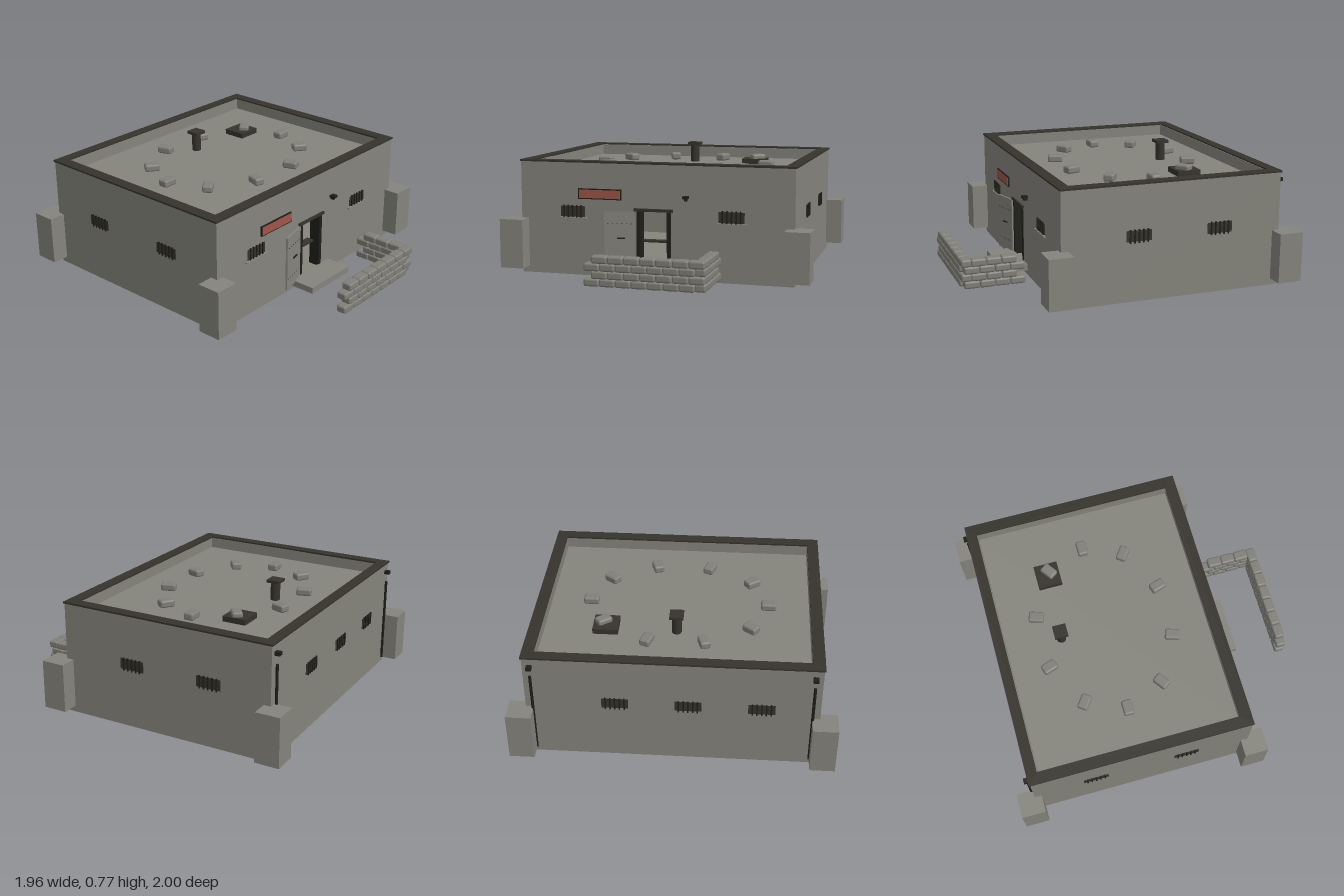
import * as THREE from 'three';
import { RoundedBoxGeometry } from 'three/addons/geometries/RoundedBoxGeometry.js';

const mat = (name, color) => {
  const m = new THREE.MeshStandardMaterial({ color });
  m.name = name;
  return m;
};

export function createModel() {
  const model = new THREE.Group();
  const concrete = mat('concrete', 0x85847c);
  const bagCloth = mat('sandbag cloth', 0x807f78);
  const darkTrim = mat('dark trim', 0x35332b);
  const iron = mat('iron', 0x1f1f1a);
  const signRed = mat('sign red', 0xa05546);

  const add = (name, geo, material, x, y, z, parent = model) => {
    const m = new THREE.Mesh(geo, material);
    m.name = name;
    m.position.set(x, y, z);
    parent.add(m);
    return m;
  };
  // box given by its limits on each axis
  const box = (name, material, x0, x1, y0, y1, z0, z1, parent = model) =>
    add(name, new THREE.BoxGeometry(x1 - x0, y1 - y0, z1 - z0), material,
      (x0 + x1) / 2, (y0 + y1) / 2, (z0 + z1) / 2, parent);
  const rect = (P, x0, x1, y0, y1) =>
    new P().moveTo(x0, y0).lineTo(x1, y0).lineTo(x1, y1).lineTo(x0, y1).closePath();

  // building shell: X half width, ZB back, ZF front, T wall thickness
  const X = 0.875, ZB = -0.89, ZF = 0.51, T = 0.065, TOP = 0.712;
  const front = rect(THREE.Shape, -X, X, 0, TOP);
  front.holes.push(rect(THREE.Path, -0.105, 0.105, 0.06, 0.425));
  add('frontWall', new THREE.ExtrudeGeometry(front, { depth: T, bevelEnabled: false }), concrete, 0, 0, ZF - T);
  box('backWall', concrete, -X, X, 0, TOP, ZB, ZB + T);
  for (const s of [-1, 1])
    add('sideWall', new THREE.BoxGeometry(T, TOP, ZF - ZB - 2 * T), concrete, s * (X - T / 2), TOP / 2, (ZF + ZB) / 2);
  box('floor', concrete, -X + T, X - T, 0, 0.06, ZB + T, ZF - T);
  box('roofDeck', concrete, -X + T, X - T, 0.6, 0.64, ZB + T, ZF - T);

  // parapet coping, a flat ring
  const ring = rect(THREE.Shape, -0.882, 0.882, -0.515, 0.897);
  ring.holes.push(rect(THREE.Path, -0.81, 0.81, -0.443, 0.83));
  add('coping', new THREE.ExtrudeGeometry(ring, { depth: 0.011, bevelEnabled: false }), darkTrim, 0, 0.71, 0)
    .rotation.x = -Math.PI / 2;

  // corner blocks
  for (const s of [-1, 1])
    for (const z of [-0.923, 0.54])
      add('cornerBlock', new THREE.BoxGeometry(0.153, 0.31, 0.153), concrete, s * 0.905, 0.195, z);

  // barred windows, facing outward
  const windowAt = (x, z, turn, sill) => {
    const g = new THREE.Group();
    g.name = 'barredWindow';
    g.position.set(x, 0.403, z);
    g.rotation.y = turn;
    box('opening', darkTrim, -0.08, 0.08, -0.034, 0.034, -0.002, 0.002, g);
    for (let i = 0; i < 5; i++) {
      const bx = -0.056 + i * 0.028;
      box('bar', iron, bx - 0.004, bx + 0.004, -0.042, 0.04, 0, 0.008, g);
    }
    if (sill) box('sill', concrete, -0.097, 0.097, -0.047, -0.037, -0.005, 0.014, g);
    model.add(g);
  };
  for (const x of [-0.53, 0.49]) windowAt(x, ZF, 0, true);
  for (const x of [0.34, -0.095, -0.53]) windowAt(x, ZB, Math.PI, false);
  for (const z of [0.03, -0.49]) windowAt(X, z, Math.PI / 2, false);
  for (const z of [0.1, -0.49]) windowAt(-X, z, -Math.PI / 2, false);

  // door frame, shelf inside, doorstep
  for (const s of [-1, 1])
    add('doorPost', new THREE.BoxGeometry(0.025, 0.365, T + 0.01), iron, s * 0.0975, 0.2425, ZF - T / 2);
  box('doorLintel', darkTrim, -0.125, 0.125, 0.42, 0.438, ZF - T, ZF + 0.012);
  box('innerShelf', darkTrim, -0.085, 0.085, 0.222, 0.234, 0.42, 0.47);
  box('doorstep', concrete, -0.19, 0.19, 0.03, 0.07, ZF, 0.68);

  // open door leaf, hinged on the frame
  const door = new THREE.Group();
  door.name = 'door';
  door.position.set(-0.12, 0, 0.517);
  door.rotation.y = 0.24;
  box('leaf', concrete, -0.188, 0, 0.06, 0.418, -0.006, 0.006, door);
  box('handle', iron, -0.11, -0.06, 0.249, 0.256, 0.004, 0.014, door);
  for (const y of [0.13, 0.34])
    for (let i = 0; i < 6; i++)
      box('rivet', iron, -0.17 + i * 0.029, -0.163 + i * 0.029, y, y + 0.004, 0.005, 0.008, door);
  model.add(door);

  // sign and lamp
  box('signFrame', iron, -0.49, -0.208, 0.484, 0.55, ZF, 0.519);
  box('signFace', signRed, -0.483, -0.215, 0.491, 0.543, 0.519, 0.522);
  box('lampArm', iron, 0.2, 0.216, 0.495, 0.512, ZF, 0.535);
  box('lampHead', iron, 0.19, 0.226, 0.51, 0.525, ZF, 0.547);

  // drain spouts and pipes at the back corners
  for (const s of [-1, 1]) {
    add('spout', new THREE.BoxGeometry(0.032, 0.022, 0.045), iron, s * 0.83, 0.656, -0.9);
    add('drainPipe', new THREE.CylinderGeometry(0.009, 0.009, 0.55, 8), iron, s * 0.83, 0.315, -0.902);
  }

  // roof vent and hatch
  add('ventPipe', new THREE.CylinderGeometry(0.03, 0.03, 0.12, 12), darkTrim, 0, 0.7, -0.475);
  add('ventCap', new THREE.BoxGeometry(0.085, 0.018, 0.085), darkTrim, 0, 0.766, -0.475);
  box('roofHatch', darkTrim, 0.355, 0.51, 0.64, 0.674, -0.53, -0.378);

  // sandbags
  const bagGeo = new RoundedBoxGeometry(0.096, 0.047, 0.066, 2, 0.013);
  const bag = (x, y, z, turn) => {
    add('sandbag', bagGeo, bagCloth, x, y, z).rotation.y = turn;
  };
  // ring of bags on the roof
  for (let i = 0; i < 10; i++) {
    const a = i * Math.PI / 5;
    bag(0.557 * Math.cos(a), i === 9 ? 0.68 : 0.663, -0.195 + 0.42 * Math.sin(a), -a);
  }
  // L-shaped wall before the door, four staggered courses
  for (let row = 0; row < 4; row++) {
    const y = 0.064 + row * 0.0452, odd = row % 2;
    const step = odd ? 0.0975 : 0.0955;
    for (let i = 0; i < 7; i++)
      bag((odd ? -0.235 : -0.28) + (i + 0.5) * step, y, 0.962, Math.sin(i * 5 + row * 3) * 0.03);
    for (let i = 0; i < (odd ? 3 : 4); i++)
      bag(0.417, y, (odd ? 0.65 : 0.598) + (i + 0.5) * 0.0945, Math.PI / 2 + Math.sin(i * 4 + row * 2) * 0.03);
  }
  return model;
}
